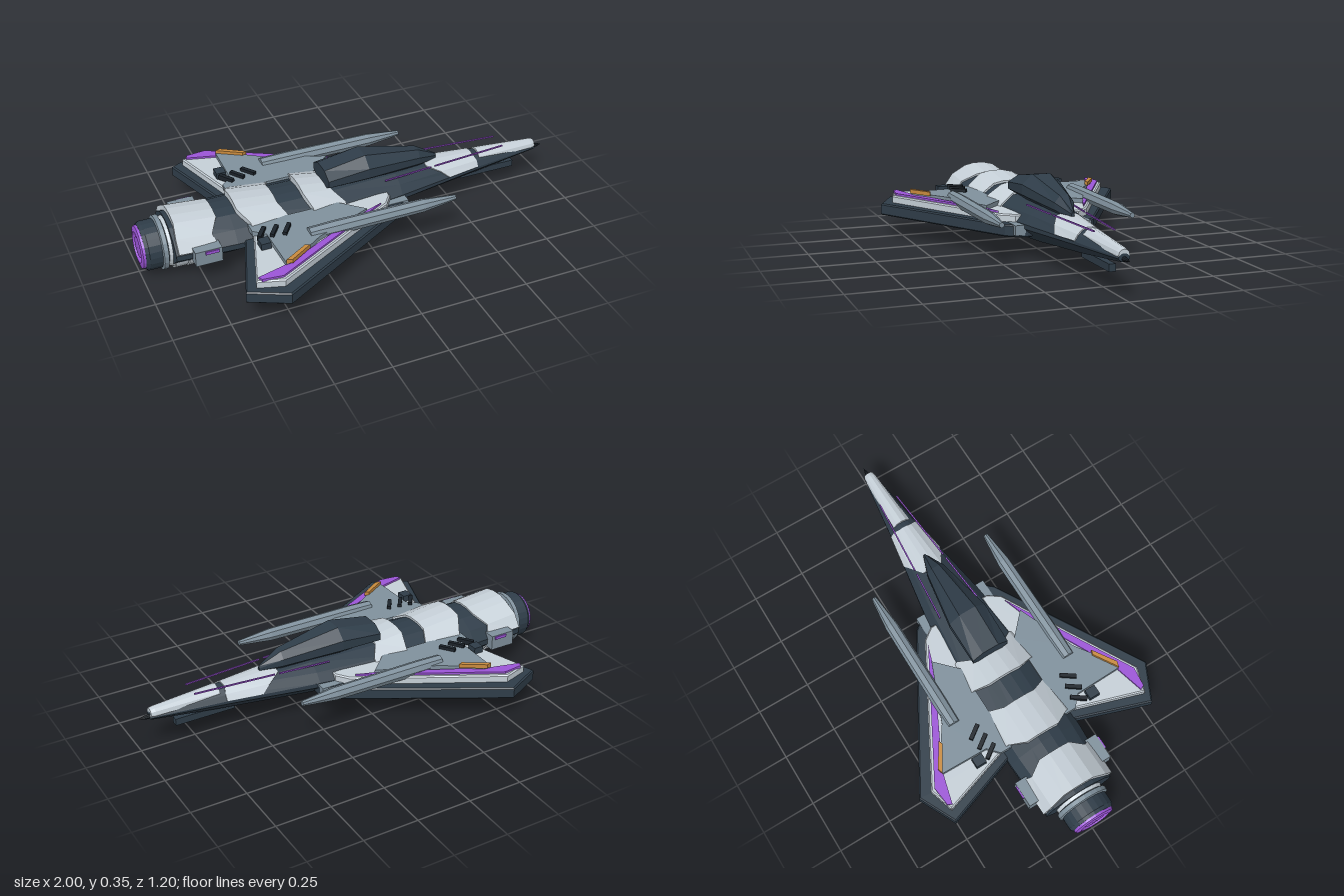
import * as THREE from 'three';

const mat = (color) => new THREE.MeshStandardMaterial({ color, flatShading: true, side: THREE.DoubleSide });
const M = {
  dark: mat(0x2f3d49), light: mat(0xc6d0d8), mid: mat(0x80919d),
  purple: mat(0x9c55d8), orange: mat(0xc98b3e), black: mat(0x1b2229),
};

// Skin a list of rings (arrays of [x, y, z]); closed rings are capped.
function loft(rings, closed) {
  const n = rings[0].length, idx = [];
  for (let i = 0; i < rings.length - 1; i++) {
    for (let j = 0; j < (closed ? n : n - 1); j++) {
      const a = i * n + j, b = i * n + (j + 1) % n;
      idx.push(a, a + n, b, b, a + n, b + n);
    }
  }
  if (closed) {
    const e = (rings.length - 1) * n;
    for (let j = 1; j < n - 1; j++) idx.push(0, j, j + 1, e, e + j + 1, e + j);
  }
  const g = new THREE.BufferGeometry();
  g.setAttribute('position', new THREE.Float32BufferAttribute(rings.flat(2), 3));
  g.setIndex(idx);
  const flat = g.toNonIndexed();
  flat.computeVertexNormals();
  return flat;
}

// Symmetric cross-section at x from a half profile of [width, height] fractions.
function section(profile, x, w, top, bot) {
  const half = profile.map(([z, t]) => [x, bot + (top - bot) * t, z * w]);
  return [...half, ...half.map(([a, b, c]) => [a, b, -c]).reverse()];
}

const HULL = [[0.42, 0], [1, 0.4], [1, 0.53], [0.78, 0.77], [0.42, 0.95], [0.15, 1]];
const STATIONS = [ // x, half width, top, bottom
  [-0.87, 0.165, 0.25, 0.045], [-0.6, 0.18, 0.248, 0.042], [-0.15, 0.18, 0.243, 0.055],
  [0.2, 0.138, 0.238, 0.077], [0.62, 0.07, 0.213, 0.112], [0.95, 0.025, 0.182, 0.148],
];

function hullAt(x, grow = 0) {
  let i = 0;
  while (i < STATIONS.length - 2 && x > STATIONS[i + 1][0]) i++;
  const a = STATIONS[i], b = STATIONS[i + 1], t = (x - a[0]) / (b[0] - a[0]);
  const [w, top, bot] = [1, 2, 3].map((k) => a[k] + (b[k] - a[k]) * t);
  return section(HULL, x, w + grow * 0.5, top + grow, bot);
}

export function createModel() {
  const root = new THREE.Group();
  const add = (name, geo, material, parent = root) => {
    const m = new THREE.Mesh(geo, material);
    m.name = name;
    parent.add(m);
    return m;
  };
  const box = (name, material, size, pos, parent, ry = 0) => {
    const m = add(name, new THREE.BoxGeometry(...size), material, parent);
    m.position.set(...pos);
    m.rotation.y = ry;
    return m;
  };
  // Body of revolution along x from [radius, x] points
  const spin = (name, material, pts, y, z, sides, parent) => {
    const g = new THREE.LatheGeometry(pts.map(([r, x]) => new THREE.Vector2(r, x)), sides);
    g.rotateZ(-Math.PI / 2);
    const m = add(name, g, material, parent);
    m.position.set(0, y, z);
    return m;
  };
  // Flat plate from an outline in x and z
  const plate = (name, material, pts, y0, y1, side, parent, bevel = 0) => {
    const shape = new THREE.Shape(pts.map(([x, z]) => new THREE.Vector2(x, z * side)));
    const g = new THREE.ExtrudeGeometry(shape, {
      depth: y1 - y0 - 2 * bevel, bevelEnabled: bevel > 0, bevelSize: bevel,
      bevelOffset: -bevel, bevelThickness: bevel, bevelSegments: 1,
    });
    g.rotateX(Math.PI / 2).translate(0, y1 - bevel, 0);
    return add(name, g, material, parent);
  };

  // Fuselage
  add('fuselage', loft(STATIONS.map(([x]) => hullAt(x)), true), M.dark);

  // Pale raised panels with stepped edges wrapped over the back
  const panel = (name, rear, front, growRear, growFront) => {
    const ring = (edge, grow) => {
      const out = [];
      for (let j = 2; j <= 9; j++) out.push(hullAt(edge[Math.min(j - 2, 9 - j)], grow)[j]);
      return out;
    };
    add(name, loft([ring(rear, -0.01), ring(rear, growRear), ring(front, growFront), ring(front, -0.01)], false), M.light);
  };
  panel('rearBackPanel', [-0.86, -0.86, -0.85, -0.85], [-0.68, -0.7, -0.66, -0.66], 0.025, 0.008);
  panel('middleBackPanel', [-0.52, -0.53, -0.57, -0.57], [-0.33, -0.35, -0.38, -0.38], 0.03, 0.01);
  panel('frontBackPanel', [-0.24, -0.24, -0.26, -0.26], [-0.08, -0.08, -0.12, -0.12], 0.028, 0.008);
  panel('nosePanel', [0.46, 0.42, 0.36, 0.36], [0.62, 0.62, 0.61, 0.61], 0.005, 0.006);

  // Nose
  spin('noseTube', M.light, [[0, 0.64], [0.048, 0.64], [0.028, 0.93], [0.024, 0.95], [0, 0.95]], 0.175, 0, 12);
  spin('noseTip', M.black, [[0, 0.93], [0.012, 0.94], [0.008, 0.975], [0, 1]], 0.16, 0, 8);
  box('chinSensor', M.dark, [0.28, 0.032, 0.03], [0.7, 0.1, 0]);

  // Canopy
  const COWL = [[0.45, 0], [1, 0.3], [1, 0.66], [0.45, 1]];
  add('canopy', loft([
    [-0.14, 0.09, 0.322, 0.235], [0.055, 0.092, 0.355, 0.225],
    [0.33, 0.044, 0.303, 0.215], [0.43, 0.006, 0.25, 0.22],
  ].map((s) => section(COWL, ...s)), true), M.dark);

  // Main engine
  spin('engineHousing', M.dark, [[0, -0.985], [0.085, -0.985], [0.1, -0.985], [0.11, -0.97],
    [0.11, -0.89], [0.1, -0.86]], 0.13, 0, 24);
  spin('engineCollar', M.mid, [[0.105, -0.915], [0.122, -0.91], [0.122, -0.89], [0.105, -0.885]], 0.13, 0, 24);
  spin('engineNeck', M.light, [[0.108, -0.885], [0.118, -0.86], [0.12, -0.82]], 0.13, 0, 24);
  spin('engineGlowRing', M.purple, [[0.07, -0.98], [0.07, -1], [0.095, -0.995], [0.1, -0.98]], 0.13, 0, 24);
  spin('engineCore', M.purple, [[0, -0.998], [0.048, -0.995], [0.052, -0.98]], 0.13, 0, 24);

  // Belly fairing in stepped bands
  [[-0.86, -0.805, 0.122], [-0.8, -0.735, 0.125], [-0.73, -0.665, 0.121]].forEach(([a, b, r]) =>
    spin('bellyBand', M.light, [[0, a], [r, a], [r, b], [0, b]], 0.126, 0, 24));
  spin('bellyCollar', M.dark, [[0, -0.87], [0.112, -0.87], [0.112, -0.62], [0.07, -0.6], [0, -0.6]], 0.13, 0, 24);

  // Mirrored parts
  for (const s of [1, -1]) {
    const wing = new THREE.Group();
    wing.name = s > 0 ? 'leftWing' : 'rightWing';
    root.add(wing);

    plate('wingSlab', M.dark, [[-0.57, 0.1], [-0.57, 0.18], [-0.685, 0.515], [-0.515, 0.598], [0.16, 0.21],
      [0.21, 0.15], [0.21, 0.1]], 0.103, 0.158, s, wing, 0.006);
    plate('wingUpperPlate', M.light, [[-0.53, 0.12], [-0.53, 0.18], [-0.635, 0.505], [-0.52, 0.54], [0.09, 0.205],
      [0.13, 0.15], [0.13, 0.12]], 0.15, 0.192, s, wing, 0.006);
    plate('wingStripe', M.purple, [[-0.62, 0.492], [-0.61, 0.512], [-0.52, 0.522], [0.06, 0.205], [-0.06, 0.245],
      [-0.47, 0.452]], 0.185, 0.201, s, wing);
    plate('wingEquipmentPlate', M.mid, [[-0.54, 0.14], [-0.54, 0.195], [-0.49, 0.24], [-0.485, 0.46], [-0.45, 0.455],
      [-0.29, 0.345], [-0.02, 0.235], [-0.12, 0.14]], 0.185, 0.212, s, wing);
    plate('wingMarker', M.orange, [[-0.485, 0.46], [-0.46, 0.468], [-0.355, 0.4], [-0.375, 0.392]], 0.208, 0.227, s, wing);

    // Cooling vents
    for (let i = 0; i < 3; i++) {
      box('vent', M.black, [0.075, 0.024, 0.018], [-0.51 + i * 0.055, 0.215, s * (0.23 + i * 0.008)], wing, s * 0.95);
    }
    box('ventHousing', M.dark, [0.045, 0.03, 0.05], [-0.52, 0.21, s * 0.295], wing);

    // Cannon
    spin('cannon', M.mid, [[0, -0.32], [0.03, -0.32], [0.033, -0.2], [0.03, 0.22], [0.012, 0.38], [0, 0.38]],
      0.204, s * 0.3, 8, wing);

    // Underwing ribbed pod
    [[-0.5, -0.44, 0.048], [-0.435, -0.37, 0.053], [-0.365, -0.3, 0.048]].forEach(([a, b, r]) =>
      spin('underwingPod', M.light, [[0, a], [r, a], [r, b], [0, b]], 0.132, s * 0.29, 20, wing));

    // Vents along the wing root underside
    for (const x of [-0.48, -0.3, -0.12, 0.06]) {
      box('rootVent', M.mid, [0.085, 0.014, 0.03], [x, 0.102, s * 0.175], wing);
    }
    box('rootFairing', M.mid, [0.62, 0.045, 0.05], [-0.1, 0.137, s * 0.155], wing);

    // Rear side thruster box
    box('sideBox', M.mid, [0.12, 0.07, 0.09], [-0.74, 0.145, s * 0.165]);
    box('sideBoxLight', M.purple, [0.06, 0.014, 0.02], [-0.725, 0.17, s * 0.207]);

    // Slender rails beside the nose
    [[0.13, 0.37], [0.39, 0.76]].forEach(([a, b]) => {
      const z = (x) => 0.098 - (x - 0.13) * 0.085;
      const rail = box('noseRail', M.purple, [b - a, 0.006, 0.006], [(a + b) / 2, 0.234, s * (z(a) + z(b)) / 2]);
      rail.rotation.y = s * 0.085;
    });
  }
  return root;
}
